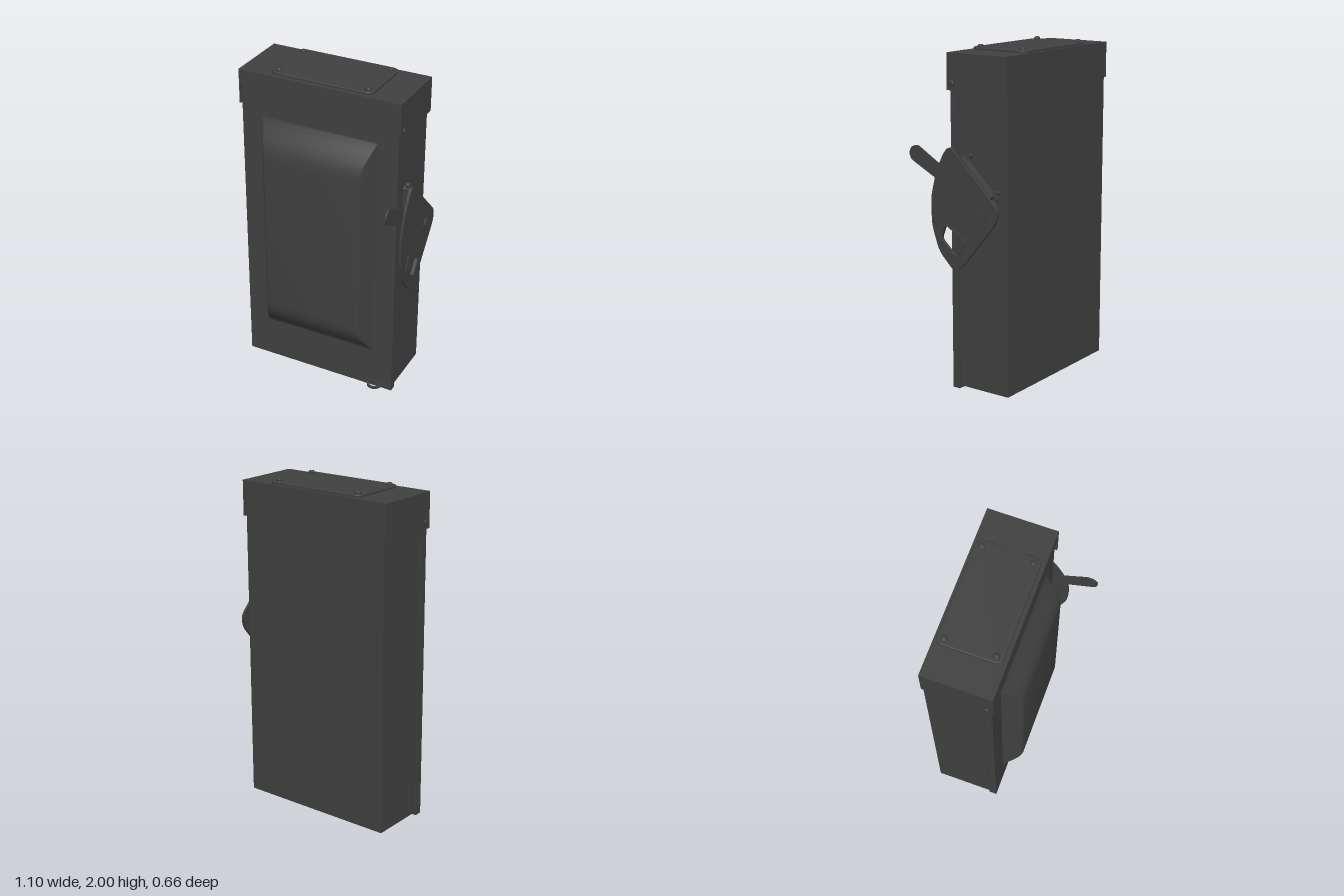
import * as THREE from 'three';
import { toCreasedNormals } from 'three/addons/utils/BufferGeometryUtils.js';

const paint = new THREE.MeshStandardMaterial({ color: 0x404040, side: THREE.DoubleSide });
const CX = -0.0325; // middle of the cabinet

export function createModel() {
  const root = new THREE.Group();

  const add = (name, geometry, parent = root) => {
    const mesh = new THREE.Mesh(geometry, paint);
    mesh.name = name;
    parent.add(mesh);
    return mesh;
  };
  const group = (name) => {
    const g = new THREE.Group();
    g.name = name;
    root.add(g);
    return g;
  };
  // Box given by its limits on each axis
  const box = (name, x0, x1, y0, y1, z0, z1, parent) =>
    add(name, new THREE.BoxGeometry(x1 - x0, y1 - y0, z1 - z0)
      .translate((x0 + x1) / 2, (y0 + y1) / 2, (z0 + z1) / 2), parent);
  // Domed screw head; its base sits at the origin, pointing up
  const screwHead = (r, h) => new THREE.LatheGeometry(
    [[0, 0], [r, 0], [r, h * 0.45], [r * 0.85, h * 0.8], [r * 0.5, h], [0, h]]
      .map(([x, y]) => new THREE.Vector2(x, y)), 20);
  // Disc with its axis along x
  const disc = (name, r, x0, x1, y, z, parent) =>
    add(name, new THREE.CylinderGeometry(r, r, x1 - x0, 32)
      .rotateZ(-Math.PI / 2).translate((x0 + x1) / 2, y, z), parent);
  // Outline of [z, y] points with rounded corners
  const outline = (pts, round, T = THREE.Shape) => {
    const v = pts.map(([z, y]) => new THREE.Vector2(-z, y));
    const path = new T();
    v.forEach((p, i) => {
      const a = v[(i + v.length - 1) % v.length], b = v[(i + 1) % v.length];
      const cut = (q) => p.clone().lerp(q, Math.min(0.5, round / p.distanceTo(q)));
      const s = cut(a), e = cut(b);
      if (i) path.lineTo(s.x, s.y); else path.moveTo(s.x, s.y);
      path.quadraticCurveTo(p.x, p.y, e.x, e.y);
    });
    path.closePath();
    return path;
  };
  // Sheet lying in the z-y plane from x0 to x1
  const sheet = (name, shape, x0, x1, parent) =>
    add(name, new THREE.ExtrudeGeometry(shape, { depth: x1 - x0, bevelEnabled: false, curveSegments: 8 })
      .rotateY(Math.PI / 2).translate(x0, 0, 0), parent);

  // Cabinet body and door pan
  box('body', -0.525, 0.46, 0.025, 1.9, -0.325, 0.015);
  box('door', -0.53, 0.465, 0.005, 1.89, 0.019, 0.066);
  box('doorSeal', -0.515, 0.45, 0.04, 1.88, 0.012, 0.022);

  // Raised door panel with curved ends and sloping sides
  const ends = [[0, 0], [0.015, 0.006], [0.05, 0.036], [0.1, 0.075], [0.13, 0.093], [0.16, 0.105], [0.19, 0.112], [0.23, 0.115]];
  const rows = [...ends.map(([d, h]) => [0.27 + d, h]), ...ends.map(([d, h]) => [1.7 - d, h]).reverse()];
  const side = [[0, 0], [0.048, 0.85], [0.053, 0.93], [0.06, 0.98], [0.07, 1]];
  const pos = [], idx = [];
  const n = side.length * 2;
  rows.forEach(([y, h], j) => {
    const k = h / 0.115;
    side.forEach(([x, t]) => pos.push(-0.395 + x * k, y, 0.065 + t * h));
    [...side].reverse().forEach(([x, t]) => pos.push(0.335 - x * k, y, 0.065 + t * h));
    if (j) for (let i = 0; i < n - 1; i++) {
      const a = (j - 1) * n + i, b = a + n;
      idx.push(a, a + 1, b + 1, a, b + 1, b);
    }
  });
  const panel = new THREE.BufferGeometry();
  panel.setAttribute('position', new THREE.Float32BufferAttribute(pos, 3));
  panel.setIndex(idx);
  add('raisedPanel', toCreasedNormals(panel, 0.5));

  // Rain cap with side flaps
  const cap = group('rainCap');
  box('capTop', -0.54, 0.48, 1.885, 1.97, -0.33, 0.08, cap);
  for (const s of [-1, 1]) {
    const inner = s < 0 ? -0.53 : 0.468, outer = s < 0 ? -0.54 : 0.48;
    box('sideFlap', Math.min(inner, outer), Math.max(inner, outer), 1.76, 1.9, -0.33, 0.08, cap);
    const screw = add('flapScrew', screwHead(0.018, 0.012), cap);
    screw.rotation.z = -s * Math.PI / 2;
    screw.position.set(outer, 1.8, 0.042);
  }

  // Rounded cover plate on the cap with four screws
  const cover = group('topCover');
  const w = 0.3125, d = 0.18, r = 0.035;
  const plate = new THREE.Shape();
  plate.absarc(w - r, d - r, r, 0, Math.PI / 2);
  plate.absarc(r - w, d - r, r, Math.PI / 2, Math.PI);
  plate.absarc(r - w, r - d, r, Math.PI, Math.PI * 1.5);
  plate.absarc(w - r, r - d, r, Math.PI * 1.5, Math.PI * 2);
  add('coverPlate', new THREE.ExtrudeGeometry(plate, {
    depth: 0.01, bevelThickness: 0.006, bevelSize: 0.006, bevelSegments: 3, curveSegments: 8,
  }).rotateX(-Math.PI / 2).translate(-0.028, 1.97, -0.13), cover);
  for (const x of [-0.31, 0.25]) for (const z of [-0.275, 0.015])
    add('coverScrew', screwHead(0.018, 0.016), cover).position.set(x, 1.984, z);

  // Switch mechanism on the side wall
  const handle = group('switchHandle');
  sheet('mountBracket', outline([[-0.03, 1.41], [-0.075, 1.36], [-0.25, 1.19], [-0.2, 1.16], [-0.06, 1.17], [-0.025, 1.25]], 0.02), 0.46, 0.51, handle);
  for (const [y, z] of [[1.4, -0.07], [1.215, -0.26]]) {
    disc('bracketScrew', 0.014, 0.455, 0.485, y, z, handle);
    const tab = box('bracketTab', 0.46, 0.472, -0.012, 0.012, -0.03, 0.03, handle);
    tab.position.set(0, y - 0.02, z + 0.02);
    tab.rotation.x = -Math.PI / 4;
  }
  disc('hub', 0.07, 0.455, 0.51, 1.1, -0.195, handle);
  disc('pivotSpacer', 0.05, 0.5, 0.53, 1.1, -0.195, handle);
  disc('pivotRim', 0.042, 0.535, 0.545, 1.1, -0.195, handle);
  disc('pivotPin', 0.032, 0.535, 0.549, 1.1, -0.195, handle);

  // Lever arm with a rounded grip, reaching to the pivot
  const arm = new THREE.Shape();
  arm.absarc(0, 0, 0.048, Math.PI / 2, Math.PI * 1.5);
  arm.lineTo(0.5, -0.033);
  arm.lineTo(0.5, 0.033);
  arm.closePath();
  const lever = add('lever', new THREE.ExtrudeGeometry(arm, { depth: 0.011, bevelEnabled: false, curveSegments: 16 })
    .rotateZ(-0.5).rotateY(Math.PI / 2), handle);
  lever.position.set(0.508, 1.385, 0.278);

  // Kite-shaped handle plate with a lockout window
  const kite = outline([[0.02, 1.46], [-0.31, 1.135], [-0.3, 1.06], [-0.075, 0.785], [-0.01, 0.735],
    [0.1, 0.845], [0.15, 0.99], [0.155, 1.15], [0.115, 1.31], [0.06, 1.42]], 0.04);
  const hole = [[0.055, 1.015], [-0.1, 0.925], [-0.02, 0.82], [0.09, 0.92]];
  const grow = (k) => hole.map(([z, y]) => [0.006 + (z - 0.006) * k, 0.92 + (y - 0.92) * k]);
  const window = () => outline(grow(0.9), 0.022, THREE.Path);
  kite.holes.push(window());
  sheet('handlePlate', kite, 0.525, 0.54, handle);
  const rim = outline(grow(1.04), 0.025);
  rim.holes.push(window());
  sheet('windowRim', rim, 0.538, 0.546, handle);

  // Padlock loop at the foot of the door
  const loop = group('padlockLoop');
  box('slotPlate', 0.305, 0.42, 0.025, 0.048, 0.06, 0.07, loop);
  const ring = new THREE.Shape();
  ring.absarc(0, 0, 0.046, 0, Math.PI * 2);
  const eye = new THREE.Path();
  eye.absarc(0, 0, 0.033, 0, Math.PI * 2);
  ring.holes.push(eye);
  add('ring', new THREE.ExtrudeGeometry(ring, { depth: 0.014, bevelEnabled: false, curveSegments: 24 })
    .rotateX(-Math.PI / 2).translate(0.36, 0.029, 0.086), loop);

  // Folded lip under the door
  box('doorLip', CX - 0.48, CX + 0.48, 0.008, 0.022, 0.012, 0.03);

  return root;
}
